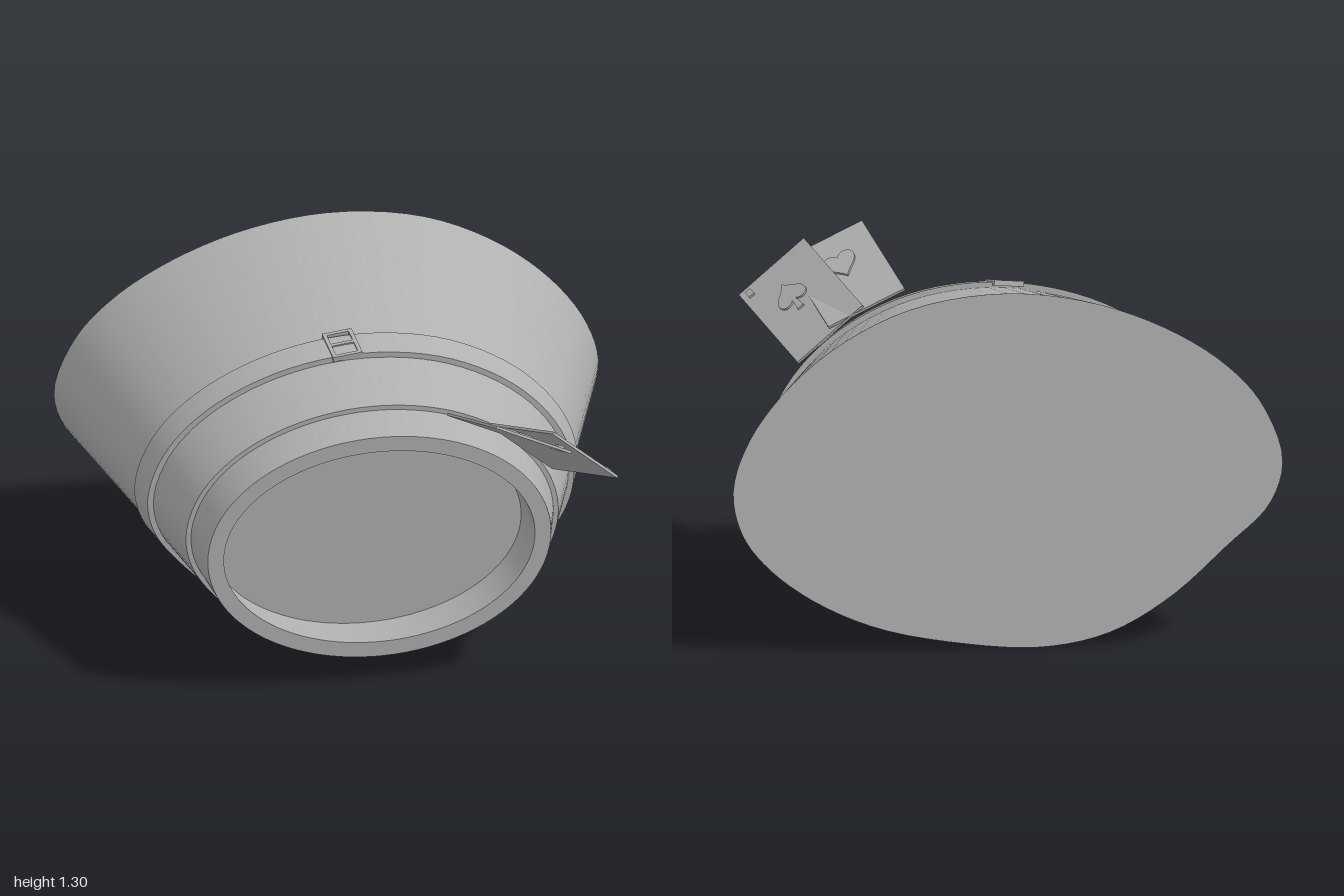
import * as THREE from 'three';

// Outline of the closed end, counter-clockwise seen from the front
const OUTLINE = [
  [1, 0.61], [0.945, 0.78], [0.81, 0.963], [0.6, 1.134], [0.33, 1.257], [0, 1.3], [-0.31, 1.257],
  [-0.58, 1.155], [-0.79, 1.02], [-0.925, 0.87], [-1, 0.66], [-0.95, 0.5], [-0.79, 0.35], [-0.58, 0.17],
  [-0.36, 0.05], [-0.12, 0.005], [0.17, 0.027], [0.49, 0.096], [0.73, 0.21], [0.893, 0.342], [0.973, 0.46],
];
const N = 96;

export function createModel() {
  const model = new THREE.Group();
  const grey = new THREE.MeshStandardMaterial({ color: 0xb0b0b0 });
  grey.name = 'grey';

  const add = (parent, name, geometry, x = 0, y = 0, z = 0) => {
    const mesh = new THREE.Mesh(geometry, grey);
    mesh.name = name;
    mesh.position.set(x, y, z);
    parent.add(mesh);
    return mesh;
  };

  const outline = new THREE.CatmullRomCurve3(
    OUTLINE.map(([x, y]) => new THREE.Vector3(x, y, 0)), true).getPoints(N).slice(0, N);

  // Slanted cross-section: t = 0 at the closed end, 1 at the oval opening
  const ring = (t, offset = 0, dz = 0) => {
    const cx = -0.19 * t, cy = 0.65 - 0.1 * t, cz = -0.843 + 1.348 * t + dz;
    return outline.map((p) => {
      const angle = Math.atan2((p.y - 0.65) / 0.65, p.x);
      const c = Math.cos(angle), s = Math.sin(angle);
      const x = THREE.MathUtils.lerp(p.x, -0.19 + 0.635 * c, t) + offset * c;
      const y = THREE.MathUtils.lerp(p.y, 0.55 + 0.452 * s, t) + offset * s;
      return [x, y, cz + 0.085 * (x - cx) + 0.08 * (y - cy)];
    });
  };

  const build = (points, index) => {
    const g = new THREE.BufferGeometry();
    g.setAttribute('position', new THREE.Float32BufferAttribute(points.flat(), 3));
    g.setIndex(index);
    g.computeVertexNormals();
    return g;
  };

  // Smooth wall between two rings
  const strip = (a, b) => {
    const index = [];
    for (let i = 0; i < N; i++) {
      const j = (i + 1) % N;
      index.push(i, j, N + j, i, N + j, N + i);
    }
    return build([...a, ...b], index);
  };

  // Flat end closing a ring
  const cap = (r, front) => {
    const centre = [0, 1, 2].map((k) => r.reduce((sum, p) => sum + p[k], 0) / N);
    const index = [];
    for (let i = 0; i < N; i++) {
      const j = (i + 1) % N;
      if (front) index.push(N, i, j);
      else index.push(N, j, i);
    }
    return build([...r, centre], index);
  };

  // Crown with its narrower sleeve, rim and recessed floor
  const crown = new THREE.Group();
  crown.name = 'crown';
  model.add(crown);
  const back = ring(0), shoulder = ring(0.866), sleeve = ring(0.866, -0.018);
  const rim = ring(1, -0.005), lip = ring(1, -0.064), floor = ring(1, -0.064, -0.18);
  add(crown, 'closedEnd', cap(back, false));
  add(crown, 'crownWall', strip(back, shoulder));
  add(crown, 'shoulderStep', strip(shoulder, sleeve));
  add(crown, 'sleeve', strip(sleeve, rim));
  add(crown, 'rim', strip(rim, lip));
  add(crown, 'innerWall', strip(lip, floor));
  add(crown, 'innerFloor', cap(floor, true));

  // Band around the crown
  const band = new THREE.Group();
  band.name = 'band';
  model.add(band);
  const bandRings = [ring(0.565, -0.005), ring(0.565, 0.021), ring(0.652, 0.021), ring(0.652, -0.005)];
  for (let i = 0; i < 3; i++) add(band, ['bandBackEdge', 'bandFace', 'bandFrontEdge'][i], strip(bandRings[i], bandRings[i + 1]));

  // Buckle: two side bars and three cross bars
  const buckle = new THREE.Group();
  buckle.name = 'buckle';
  buckle.position.set(-0.185, 1.134, 0.005);
  buckle.rotation.set(0.22, 0, 0.1);
  model.add(buckle);
  for (const s of [-1, 1]) add(buckle, 'buckleSide', new THREE.BoxGeometry(0.014, 0.022, 0.15), s * 0.048, 0, 0);
  for (const s of [-1, 0, 1]) add(buckle, 'buckleBar', new THREE.BoxGeometry(0.11, 0.02, 0.014), 0, 0, s * 0.068);

  // Card symbols, pointing along -y in the card's own plane
  const spade = new THREE.Shape();
  spade.moveTo(0, -0.085);
  spade.bezierCurveTo(0.02, -0.045, 0.062, -0.03, 0.06, 0.005);
  spade.bezierCurveTo(0.056, 0.04, 0.025, 0.04, 0.008, 0.02);
  spade.lineTo(0.014, 0.075);
  spade.lineTo(-0.014, 0.075);
  spade.lineTo(-0.008, 0.02);
  spade.bezierCurveTo(-0.025, 0.04, -0.056, 0.04, -0.06, 0.005);
  spade.bezierCurveTo(-0.062, -0.03, -0.02, -0.045, 0, -0.085);
  const heart = new THREE.Shape();
  heart.moveTo(0, 0.085);
  heart.bezierCurveTo(0.02, 0.04, 0.065, 0.02, 0.06, -0.03);
  heart.bezierCurveTo(0.055, -0.07, 0.01, -0.07, 0, -0.035);
  heart.bezierCurveTo(-0.01, -0.07, -0.055, -0.07, -0.06, -0.03);
  heart.bezierCurveTo(-0.065, 0.02, -0.02, 0.04, 0, 0.085);

  // Card given by its centre, its width direction and its length direction
  const card = (name, centre, across, along, shape, u, v) => {
    const x = new THREE.Vector3(...across), y = new THREE.Vector3(...along).negate();
    const w = x.length(), l = y.length();
    x.normalize();
    const z = x.clone().cross(y).normalize();
    y.crossVectors(z, x);
    const group = new THREE.Group();
    group.name = name;
    group.quaternion.setFromRotationMatrix(new THREE.Matrix4().makeBasis(x, y, z));
    group.position.set(...centre);
    model.add(group);
    add(group, 'cardPlate', new THREE.BoxGeometry(w, l, 0.01));
    add(group, 'cardSymbol', new THREE.ExtrudeGeometry(shape, { depth: 0.008, bevelEnabled: false }), u, v, 0.005);
    add(group, 'cornerMark', new THREE.BoxGeometry(0.024, 0.034, 0.008), w / 2 - 0.035, -l / 2 + 0.04, 0.009);
  };
  card('lowerCard', [0.245, 1.022, 0.69], [0.28, -0.13, 0.01], [0.05, 0.14, 0.47], heart, -0.005, -0.06);
  card('upperCard', [0.41, 0.934, 0.688], [0.24, -0.2, 0.005], [0.11, 0.145, 0.46], spade, 0.015, -0.04);

  return model;
}
